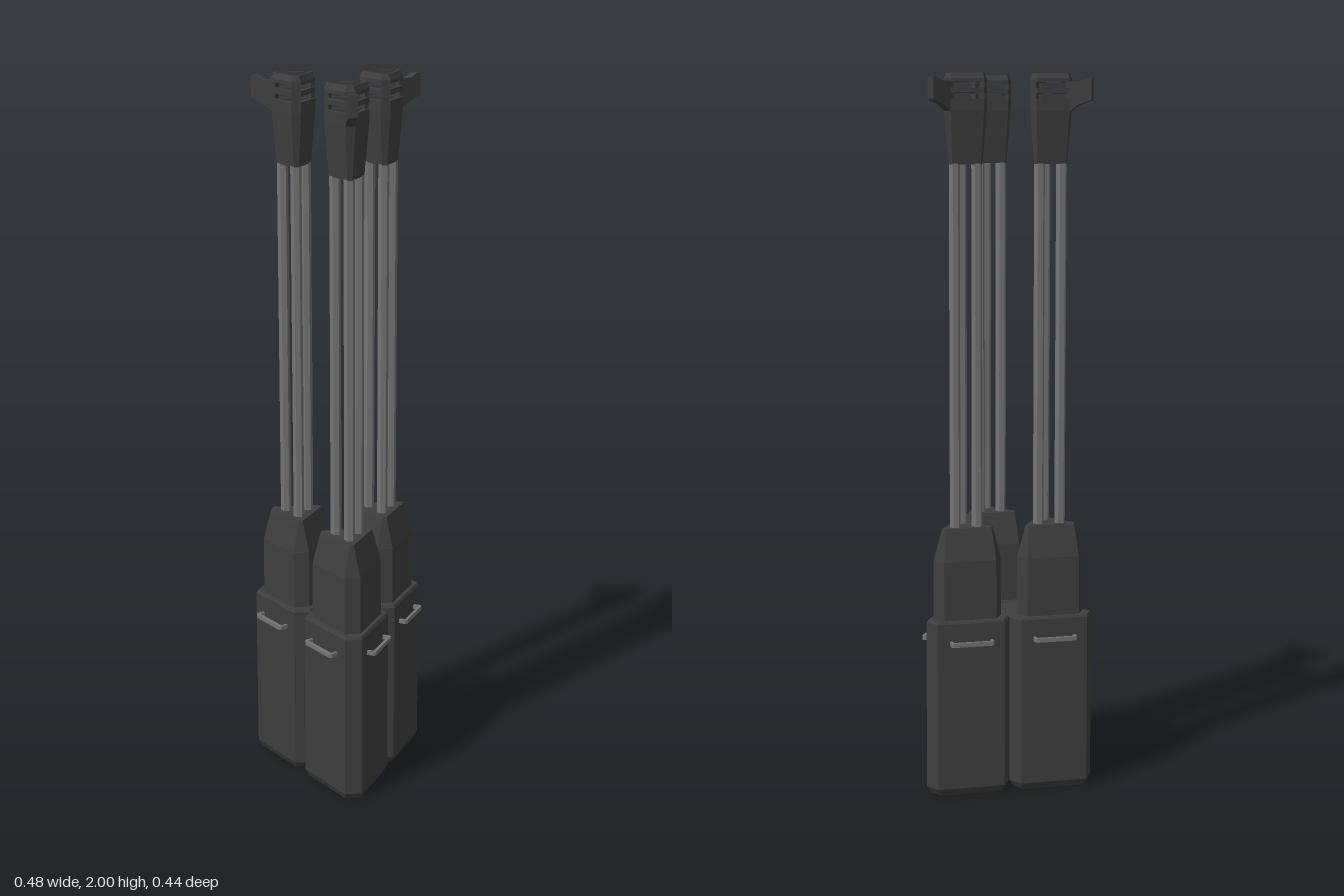
import * as THREE from 'three';

const dark = new THREE.MeshStandardMaterial({ color: 0x3e3e3e, flatShading: true });
dark.name = 'dark casing';
const grey = new THREE.MeshStandardMaterial({ color: 0x747474, flatShading: true });
grey.name = 'grey metal';

// Triangle with cut corners: r = distance to the sides, R = distance to the cut corners, one corner at -z
function section(r, R) {
  const w = (2 * r - R) * Math.tan(Math.PI / 6);
  const pts = [];
  for (let k = 0; k < 3; k++) {
    const a = k * Math.PI * 2 / 3, s = Math.sin(a), c = Math.cos(a);
    for (const t of [-w, w]) pts.push([R * s + t * c, -R * c + t * s]);
  }
  return pts;
}

// Faceted loft through levels [r, R, y]
function loft(levels, capped = true) {
  const rings = levels.map(([r, R, y]) => section(r, R).map(([x, z]) => [x, y, z]));
  const pos = [];
  const tri = (a, b, c) => pos.push(...a, ...b, ...c);
  for (let l = 0; l < rings.length - 1; l++) {
    for (let i = 0; i < 6; i++) {
      const j = (i + 1) % 6, lo = rings[l], up = rings[l + 1];
      tri(lo[i], up[i], up[j]);
      tri(lo[i], up[j], lo[j]);
    }
  }
  if (capped) {
    const bottom = rings[0], top = rings[rings.length - 1];
    for (let i = 1; i < 5; i++) {
      tri(bottom[0], bottom[i], bottom[i + 1]);
      tri(top[0], top[i + 1], top[i]);
    }
  }
  const g = new THREE.BufferGeometry();
  g.setAttribute('position', new THREE.Float32BufferAttribute(pos, 3));
  g.computeVertexNormals();
  return g;
}

function add(parent, name, geometry, material) {
  const m = new THREE.Mesh(geometry, material);
  m.name = name;
  parent.add(m);
  return m;
}

function polygon(points) {
  return new THREE.Shape(points.map(([x, y]) => new THREE.Vector2(x, y)));
}

function createHead() {
  const head = new THREE.Group();
  head.name = 'head';
  add(head, 'headSocket', loft([[0.031, 0.05, 1.755], [0.042, 0.061, 1.9], [0.042, 0.061, 1.93],
    [0.03, 0.05, 1.93], [0.03, 0.05, 1.915]]), dark);
  add(head, 'socketPlate', loft([[0.029, 0.049, 1.914], [0.029, 0.049, 1.919]]), grey);

  // Two open rings above the socket
  add(head, 'middleRing', loft([[0.042, 0.061, 1.946], [0.042, 0.061, 1.96], [0.03, 0.05, 1.96],
    [0.03, 0.05, 1.946], [0.042, 0.061, 1.946]], false), dark);
  add(head, 'topRing', loft([[0.042, 0.061, 1.975], [0.042, 0.061, 1.985], [0.035, 0.056, 2], [0.03, 0.05, 2],
    [0.03, 0.05, 1.975], [0.042, 0.061, 1.975]], false), dark);

  // Corner posts that carry the rings
  for (let k = 0; k < 3; k++) {
    const post = new THREE.BoxGeometry(0.02, 0.06, 0.012);
    post.translate(0, 1.952, -0.055);
    add(head, 'cornerPost', post, dark).rotation.y = k * Math.PI * 2 / 3;
  }

  // Bracket pointing outwards
  const arm = new THREE.ExtrudeGeometry(polygon([[0.05, 1.89], [0.085, 1.915], [0.122, 1.928],
    [0.122, 1.988], [0.108, 1.988], [0.09, 1.978], [0.05, 1.978]]), { depth: 0.024, bevelEnabled: false });
  arm.rotateY(Math.PI / 2);
  arm.translate(-0.012, 0, 0);
  add(head, 'bracketArm', arm, dark);
  return head;
}

function createHandle() {
  const g = new THREE.ExtrudeGeometry(polygon([[-0.061, -0.002], [-0.061, 0.019], [-0.056, 0.025], [0.056, 0.025],
    [0.061, 0.019], [0.061, -0.002], [0.053, -0.002], [0.053, 0.016], [-0.053, 0.016], [-0.053, -0.002]]),
  { depth: 0.012, bevelEnabled: false });
  g.rotateX(Math.PI / 2);
  g.translate(0, 0.445, 0.083);
  return g;
}

function createColumn() {
  const column = new THREE.Group();
  column.name = 'column';
  add(column, 'lowerCasing', loft([[0.074, 0.112, 0], [0.083, 0.124, 0.02], [0.083, 0.124, 0.493],
    [0.079, 0.12, 0.5]]), dark);
  add(column, 'upperCasing', loft([[0.069, 0.099, 0.495], [0.068, 0.098, 0.665], [0.049, 0.083, 0.74],
    [0.045, 0.079, 0.755]]), dark);

  // Three rods in a triangle
  for (let k = 0; k < 3; k++) {
    const rod = new THREE.CylinderGeometry(0.0152, 0.0152, 1.16, 6);
    rod.rotateY(Math.PI / 6);
    rod.translate(0, 1.32, -0.036);
    add(column, 'rod', rod, grey).rotation.y = k * Math.PI * 2 / 3;
  }
  column.add(createHead());

  // Carrying handles on the two outer faces
  for (const side of [-1, 1]) {
    add(column, 'handle', createHandle(), grey).rotation.y = side * Math.PI * 2 / 3;
  }
  return column;
}

export function createModel() {
  const model = new THREE.Group();
  model.name = 'tripleColumn';
  const centreZ = 0.04;

  // Three equal columns around a shared centre
  for (let k = 0; k < 3; k++) {
    const pivot = new THREE.Group();
    pivot.name = 'columnPivot';
    pivot.position.z = centreZ;
    pivot.rotation.y = k * Math.PI * 2 / 3;
    const column = createColumn();
    column.position.z = -0.138;
    pivot.add(column);
    model.add(pivot);
  }

  // Triangular core filling the space between the casings
  const core = add(model, 'core', new THREE.CylinderGeometry(0.111, 0.111, 0.475, 3), dark);
  core.position.set(0, 0.2575, centreZ);
  return model;
}
